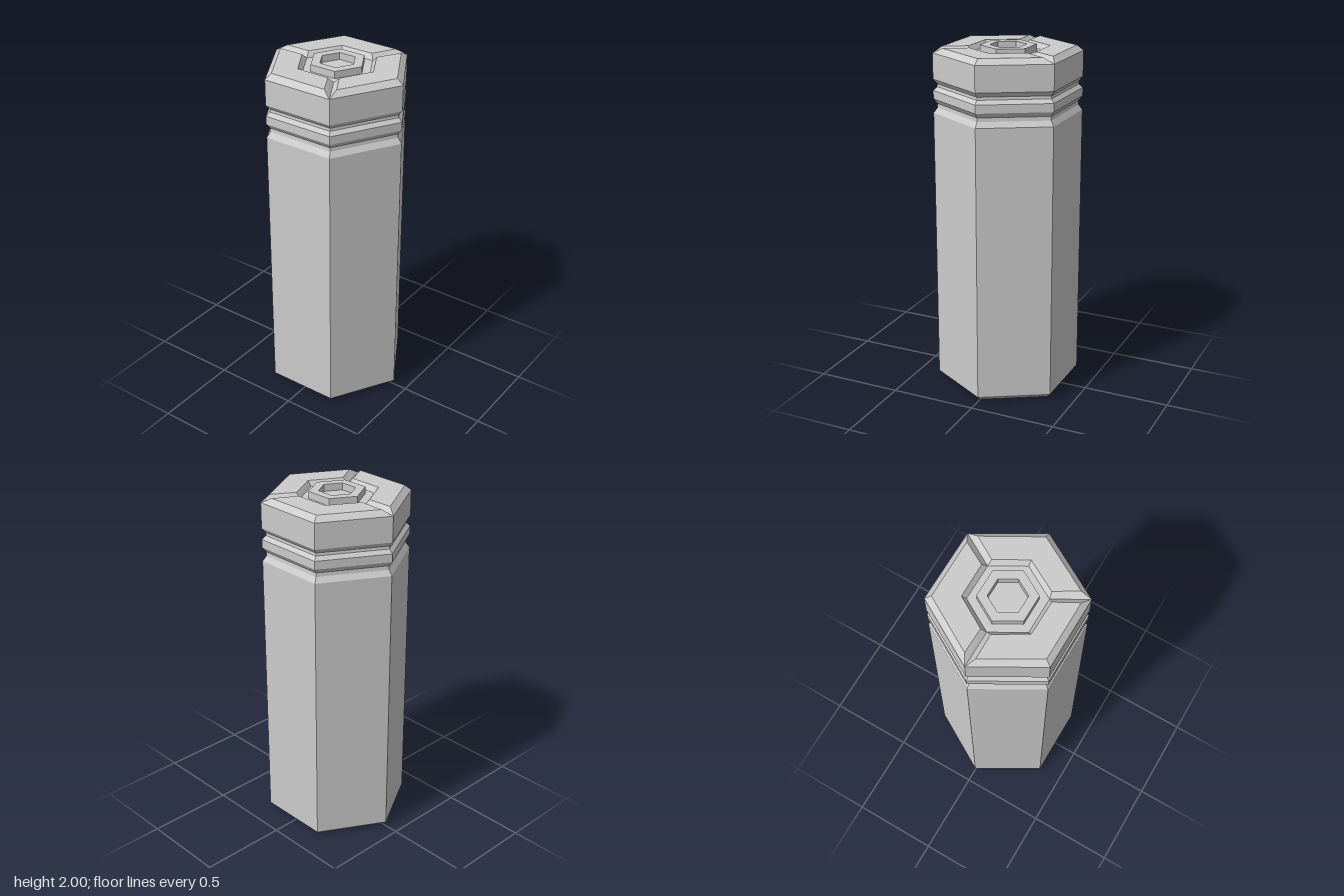
import * as THREE from 'three';

const material = new THREE.MeshStandardMaterial({ color: 0xcccccc, flatShading: true });
const FLOOR = 1.96, PLATE_TOP = 1.99;

// Six-sided lathe: a corner points to +z
function hexLathe(name, profile) {
  const points = profile.map(([r, y]) => new THREE.Vector2(r, y));
  const mesh = new THREE.Mesh(new THREE.LatheGeometry(points, 6), material);
  mesh.name = name;
  return mesh;
}

// Bevelled cover plate spanning two sides of the hexagon, centred on +z
function plateGeometry() {
  // [radius, angle in degrees], outer edge then inner edge
  const lower = [[0.418, -60], [0.418, 0], [0.418, 60], [0.207, 60], [0.207, 0], [0.207, -60]];
  const upper = [[0.365, -55], [0.38, 0], [0.365, 55], [0.219, 52.4], [0.231, 0], [0.219, -52.4]];
  const ring = (list, y) => list.map(([r, deg]) => {
    const a = THREE.MathUtils.degToRad(deg);
    return [r * Math.sin(a), y, r * Math.cos(a)];
  });
  const b = ring(lower, FLOOR), t = ring(upper, PLATE_TOP);
  const positions = [];
  const quad = (p, q, r, s) => positions.push(...p, ...q, ...r, ...p, ...r, ...s);
  for (let i = 0; i < 6; i++) {
    const j = (i + 1) % 6;
    quad(b[i], b[j], t[j], t[i]);
  }
  quad(t[0], t[1], t[4], t[5]);
  quad(t[1], t[2], t[3], t[4]);
  const geometry = new THREE.BufferGeometry();
  geometry.setAttribute('position', new THREE.Float32BufferAttribute(positions, 3));
  geometry.computeVertexNormals();
  return geometry;
}

export function createModel() {
  const model = new THREE.Group();
  model.name = 'hexagonalColumn';

  // Shaft with bevelled foot, two grooves and the recessed top floor
  const profile = [[0, 0], [0.387, 0], [0.418, 0.027]];
  for (const y of [1.623, 1.75]) {
    const dy = y < 1.7 ? [0, 0.03, 0.052, 0.08] : [0, 0.021, 0.037, 0.064];
    [0.418, 0.396, 0.394, 0.418].forEach((r, i) => profile.push([r, y + dy[i]]));
  }
  profile.push([0.418, FLOOR], [0.207, FLOOR], [0, FLOOR]);
  model.add(hexLathe('shaft', profile));

  // Three cover plates with V grooves between them
  const plate = plateGeometry();
  for (let i = 0; i < 3; i++) {
    const mesh = new THREE.Mesh(plate, material);
    mesh.name = 'coverPlate' + (i + 1);
    mesh.rotation.y = (i * Math.PI * 2) / 3;
    model.add(mesh);
  }

  // Hexagonal ring standing in the recess
  model.add(hexLathe('centreRing', [[0.157, FLOOR], [0.157, 2], [0.103, 2], [0.103, FLOOR]]));

  return model;
}
